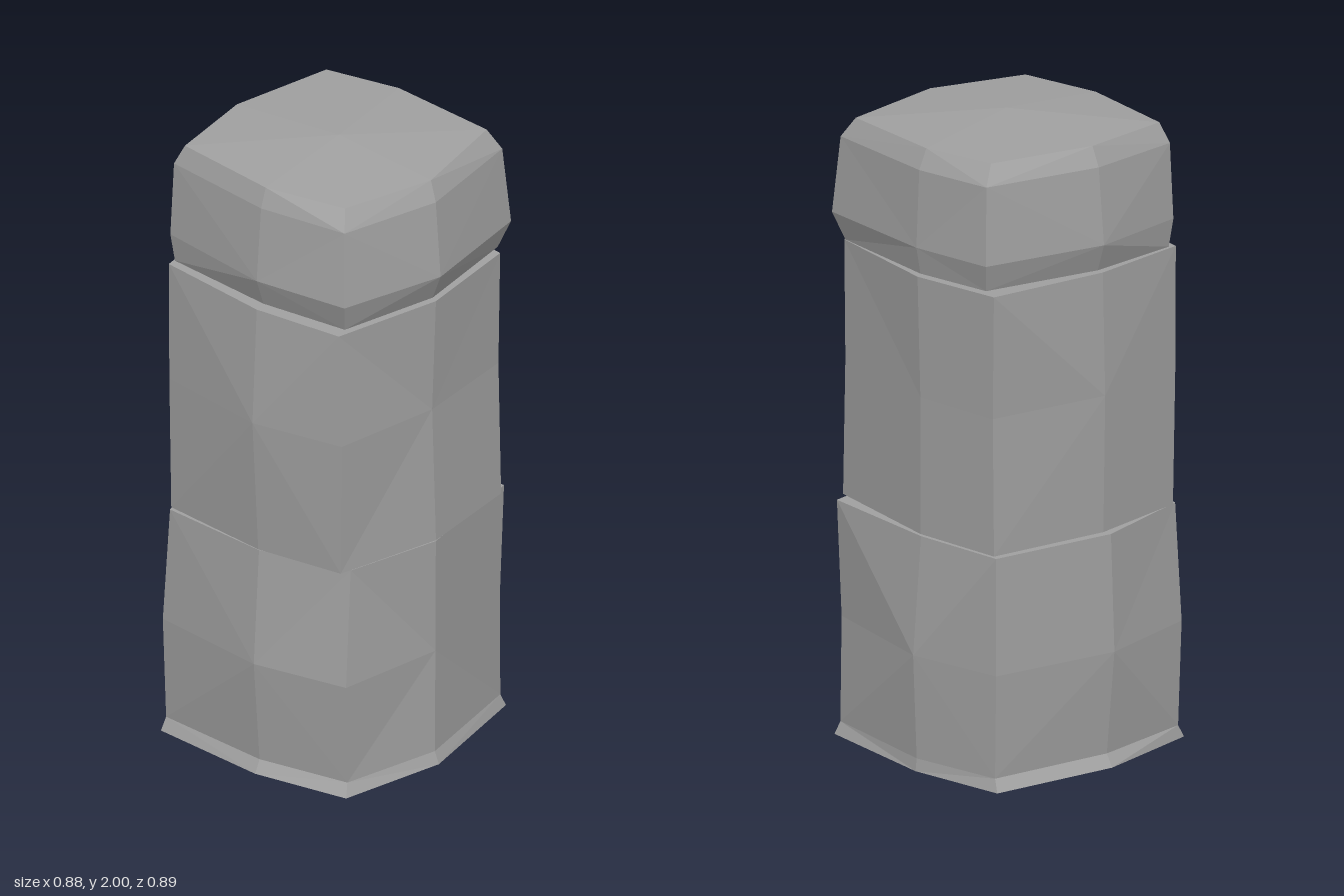
import * as THREE from 'three';

const stone = new THREE.MeshStandardMaterial({ color: 0xa0a0a0, flatShading: true, side: THREE.DoubleSide });
stone.name = 'greyStone';

// Ring of eight [x, z] points, ordered: back left, back, back right, right,
// front right, front, front left, left. tilt leans the ring along x and z.
const ring = (y, pts, tx = 0, tz = 0) =>
  pts.map(([x, z]) => new THREE.Vector3(x, y + tx * x + tz * z, z));

// Faceted block lofted through rings, open below and closed by a fan on top.
function block(name, rings, apex, shift) {
  const tris = [];
  for (let r = 0; r < rings.length - 1; r++) {
    const a = rings[r], b = rings[r + 1];
    for (let i = 0; i < 8; i++) {
      const j = (i + 1) % 8;
      // alternate diagonals so facets radiate from the middle of each side
      if ((i + r + shift) % 2) tris.push(a[i], b[i], b[j], a[i], b[j], a[j]);
      else tris.push(a[i], b[i], a[j], a[j], b[i], b[j]);
    }
  }
  const top = rings[rings.length - 1];
  const centre = new THREE.Vector3(...apex);
  for (let i = 0; i < 8; i++) tris.push(centre, top[(i + 1) % 8], top[i]);
  const geo = new THREE.BufferGeometry().setFromPoints(tris);
  geo.computeVertexNormals();
  const mesh = new THREE.Mesh(geo, stone);
  mesh.name = name;
  return mesh;
}

export function createModel() {
  const group = new THREE.Group();
  group.name = 'stonePillar';

  // Bottom block with a small flare at the ground
  group.add(block('baseBlock', [
    ring(0, [[-0.36, -0.395], [-0.045, -0.435], [0.365, -0.38], [0.43, 0.06], [0.335, 0.41], [0.015, 0.435], [-0.385, 0.365], [-0.435, 0.015]]),
    ring(0.04, [[-0.34, -0.385], [-0.045, -0.43], [0.355, -0.365], [0.415, 0.06], [0.322, 0.385], [0.015, 0.412], [-0.38, 0.345], [-0.412, 0.015]]),
    ring(0.375, [[-0.355, -0.395], [-0.045, -0.445], [0.36, -0.355], [0.41, 0.05], [0.335, 0.41], [0.015, 0.442], [-0.385, 0.355], [-0.445, 0.015]]),
    ring(0.75, [[-0.35, -0.39], [-0.045, -0.412], [0.365, -0.37], [0.415, 0.055], [0.32, 0.365], [0.015, 0.415], [-0.362, 0.35], [-0.43, 0.015]]),
  ], [0, 0.75, 0], 0));

  // Tall middle block
  group.add(block('middleBlock', [
    ring(0.75, [[-0.33, -0.38], [-0.03, -0.4], [0.39, -0.32], [0.412, 0.05], [0.308, 0.4], [0.01, 0.412], [-0.368, 0.335], [-0.402, 0.01]]),
    ring(1.19, [[-0.325, -0.38], [-0.03, -0.4], [0.38, -0.32], [0.398, 0.05], [0.322, 0.415], [0.01, 0.442], [-0.368, 0.345], [-0.41, 0.01]]),
    ring(1.573, [[-0.34, -0.39], [-0.03, -0.412], [0.39, -0.315], [0.412, 0.05], [0.308, 0.41], [0.01, 0.42], [-0.37, 0.345], [-0.4, 0.01]], -0.028, -0.015),
  ], [0, 1.573, 0], 1));

  // Rounded cap block, bulging just above its lower edge
  group.add(block('capBlock', [
    ring(1.578, [[-0.285, -0.37], [-0.025, -0.395], [0.37, -0.33], [0.4, 0.05], [0.305, 0.375], [0.01, 0.385], [-0.365, 0.32], [-0.378, 0.01]], -0.02, -0.015),
    ring(1.667, [[-0.305, -0.39], [-0.025, -0.412], [0.402, -0.355], [0.44, 0.065], [0.325, 0.405], [0.01, 0.42], [-0.375, 0.33], [-0.41, 0.005]], -0.02, -0.01),
    ring(1.91, [[-0.292, -0.375], [-0.025, -0.4], [0.38, -0.34], [0.415, 0.055], [0.308, 0.38], [0.012, 0.4], [-0.365, 0.325], [-0.387, 0.005]], -0.025, -0.02),
    ring(1.973, [[-0.27, -0.335], [-0.025, -0.37], [0.34, -0.315], [0.39, 0.045], [0.285, 0.345], [0.015, 0.38], [-0.335, 0.31], [-0.36, 0.005]], -0.025, -0.02),
  ], [0.03, 2, 0.02], 1));

  return group;
}
